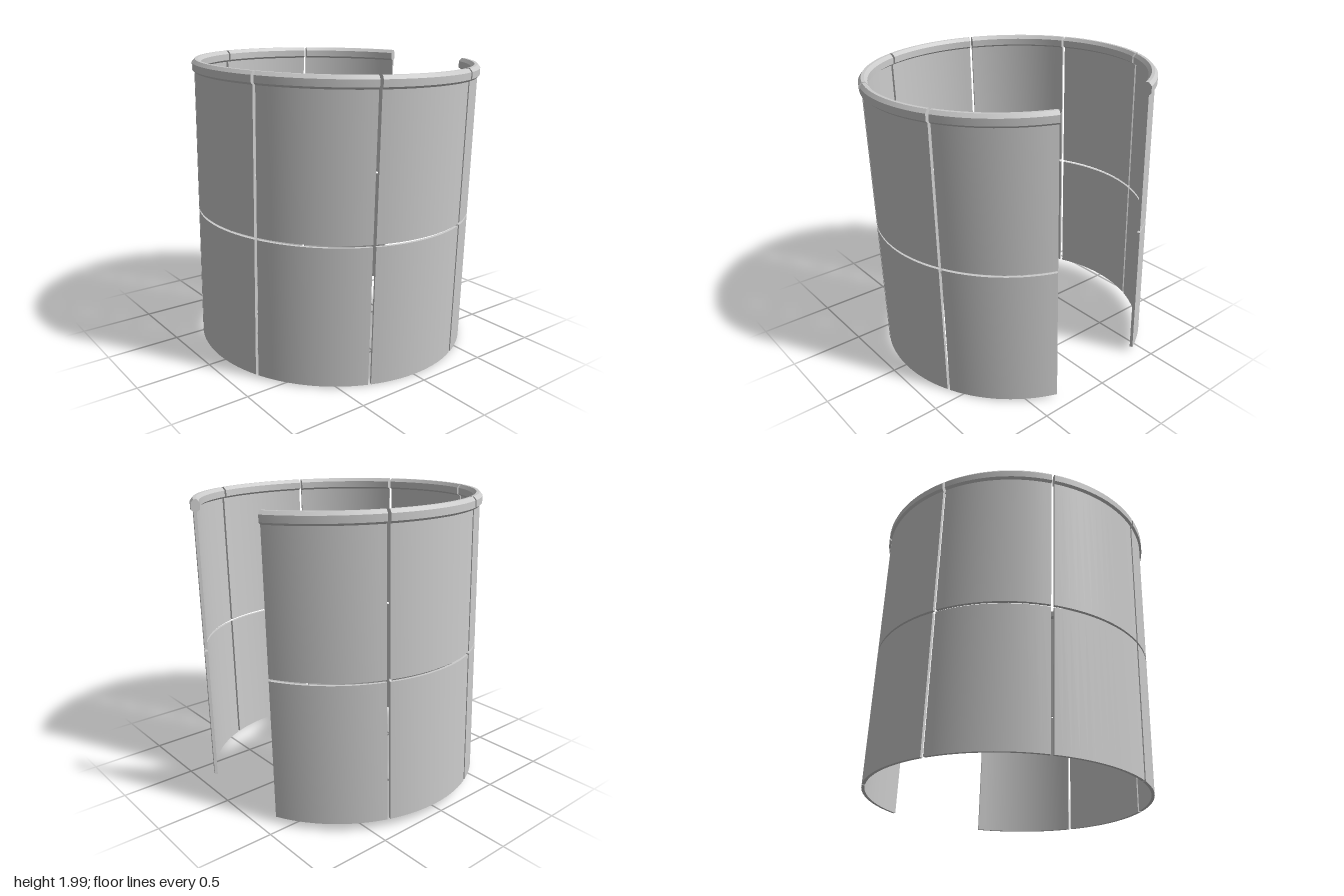
import * as THREE from 'three';
import { mergeGeometries, toCreasedNormals } from 'three/addons/utils/BufferGeometryUtils.js';

const SECTOR = Math.PI / 4;   // eight sectors, the rear one left open
const GAP = 0.021;            // angular gap between panels

// Sweeps a closed cross-section [radius, height] (counter-clockwise) through an arc, with end caps
function arcSolid(profile, start, length) {
  const points = profile.map(([r, y]) => new THREE.Vector2(r, y));
  const sweep = new THREE.LatheGeometry([...points, points[0]], 14, start, length);
  const startCap = new THREE.ShapeGeometry(new THREE.Shape(points));
  startCap.rotateY(start - Math.PI / 2);
  const mirrored = points.map((p) => new THREE.Vector2(-p.x, p.y));
  const endCap = new THREE.ShapeGeometry(new THREE.Shape(mirrored));
  endCap.rotateY(start + length + Math.PI / 2);
  return toCreasedNormals(mergeGeometries([sweep, startCap, endCap]), 0.35);
}

const wall = (bottom, top) => [[0.922, bottom], [0.942, bottom], [0.942, top], [0.922, top]];

const PARTS = {
  lowerPanel: wall(0, 0.918),
  upperPanel: wall(0.933, 1.86),
  // bevelled bead along the top edge
  rim: [
    [0.922, 1.85], [0.942, 1.85], [0.957, 1.864], [0.957, 1.908], [0.938, 1.93],
    [0.918, 1.93], [0.899, 1.908], [0.899, 1.864],
  ],
};

export function createModel() {
  const model = new THREE.Group();
  model.name = 'segmentedRing';
  const material = new THREE.MeshStandardMaterial({ color: 0xcccccc });

  // The whole shell leans slightly to one side
  const shell = new THREE.Group();
  shell.name = 'shell';
  shell.position.set(-0.036, 0.036, -0.035);
  shell.rotation.set(0, 0.011, -0.0305, 'ZYX');
  model.add(shell);

  // One geometry per part, turned into place for each of the seven sectors
  for (const [name, profile] of Object.entries(PARTS)) {
    const geometry = arcSolid(profile, -SECTOR / 2 + GAP / 2, SECTOR - GAP);
    for (let k = -3; k <= 3; k++) {
      const mesh = new THREE.Mesh(geometry, material);
      mesh.name = name;
      mesh.rotation.y = k * SECTOR;
      shell.add(mesh);
    }
  }
  return model;
}
